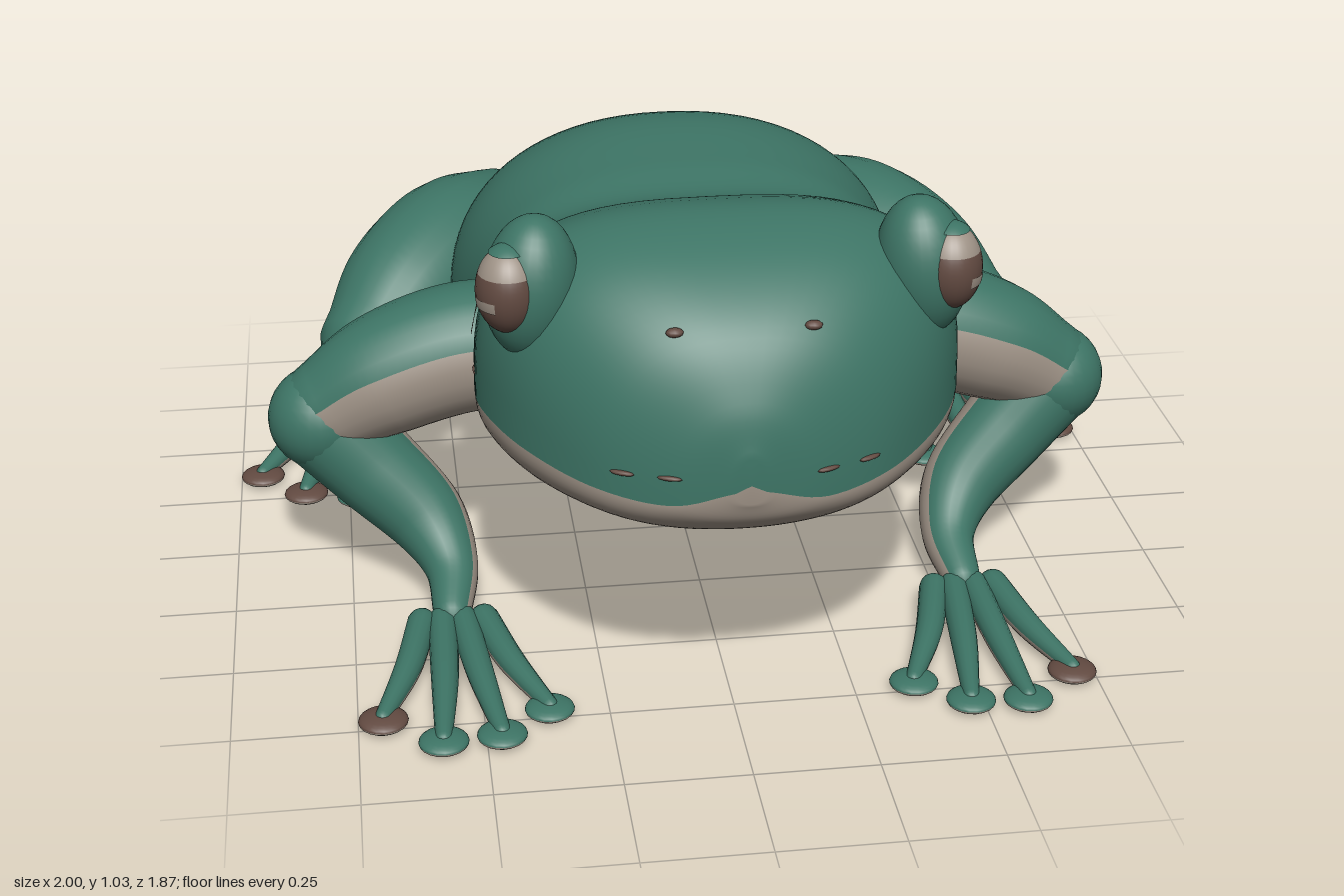
import * as THREE from 'three';

const mat = (name, color) => {
  const m = new THREE.MeshStandardMaterial({ color });
  m.name = name;
  return m;
};
const V = (x, y, z) => new THREE.Vector3(x, y, z);
const SIDES = 40;

// Skin closed rings; the first half of each ring is back skin, the rest belly skin
function loft(rings) {
  const n = rings[0].length, pos = [], halves = [[], []];
  rings.forEach(r => r.forEach(p => pos.push(p.x, p.y, p.z)));
  const ends = [rings[0], rings[rings.length - 1]].map(r => {
    const c = V(0, 0, 0);
    r.forEach(p => c.addScaledVector(p, 1 / n));
    pos.push(c.x, c.y, c.z);
    return pos.length / 3 - 1;
  });
  const last = (rings.length - 1) * n;
  for (let j = 0; j < n; j++) {
    const k = (j + 1) % n, out = halves[j < n / 2 ? 0 : 1];
    for (let i = 0; i < last; i += n) {
      out.push(i + j, i + n + j, i + n + k, i + j, i + n + k, i + k);
    }
    out.push(ends[0], j, k, ends[1], last + k, last + j);
  }
  const g = new THREE.BufferGeometry();
  g.setAttribute('position', new THREE.Float32BufferAttribute(pos, 3));
  g.setIndex([...halves[0], ...halves[1]]);
  g.addGroup(0, halves[0].length, 0);
  g.addGroup(halves[0].length, halves[1].length, 1);
  g.computeVertexNormals();
  return g;
}

// Round-ended limb through [x, y, z, radius] points; "up" is the green side
function limbGeometry(points, up, s, sides = 24) {
  const path = new THREE.CatmullRomCurve3(points.map(p => V(p[0] * s, p[1], p[2])));
  const radius = new THREE.CatmullRomCurve3(points.map((p, i) => V(p[3], i, 0)), false, 'catmullrom');
  const upV = V(up[0] * s, up[1], up[2]);
  const rings = [];
  const add = (t, shift, scale) => {
    const T = path.getTangent(t), r = radius.getPoint(t).x;
    const e1 = T.clone().cross(upV).normalize(), e2 = e1.clone().cross(T);
    const c = path.getPoint(t).addScaledVector(T, shift * r);
    rings.push(Array.from({ length: sides }, (_, j) => {
      const a = j / sides * Math.PI * 2;
      return c.clone().addScaledVector(e1, Math.cos(a) * r * scale).addScaledVector(e2, Math.sin(a) * r * scale);
    }));
  };
  const cap = [1.4, 1.1, 0.75, 0.4];
  cap.forEach(a => add(0, -Math.sin(a), Math.cos(a)));
  const steps = points.length * 6;
  for (let i = 0; i <= steps; i++) add(i / steps, 0, 1);
  cap.slice().reverse().forEach(a => add(1, Math.sin(a), Math.cos(a)));
  return loft(rings);
}

// Body stations: z, half width, top, bottom, colour border, squareness of the back
const STATIONS = [
  [0.935, 0.03, 0.65, 0.555, 0.58, 2], [0.91, 0.15, 0.75, 0.505, 0.55, 2.2],
  [0.84, 0.29, 0.87, 0.455, 0.565, 2.6], [0.71, 0.41, 0.96, 0.42, 0.59, 3],
  [0.56, 0.475, 0.998, 0.395, 0.6, 3.1], [0.41, 0.482, 0.965, 0.38, 0.58, 3],
  [0.2, 0.465, 0.885, 0.315, 0.54, 2.7], [0.03, 0.475, 0.9, 0.255, 0.51, 2.5],
  [-0.2, 0.5, 0.91, 0.225, 0.49, 2.3], [-0.4, 0.48, 0.855, 0.222, 0.47, 2.2],
  [-0.58, 0.425, 0.765, 0.225, 0.45, 2.2], [-0.76, 0.36, 0.66, 0.235, 0.42, 2.3],
  [-0.87, 0.25, 0.56, 0.26, 0.39, 2.3], [-0.908, 0.12, 0.46, 0.29, 0.37, 2],
];
const curveA = new THREE.CatmullRomCurve3(STATIONS.map(s => V(s[0], s[1], s[2])), false, 'catmullrom');
const curveB = new THREE.CatmullRomCurve3(STATIONS.map(s => V(s[3], s[4], s[5])), false, 'catmullrom');
const station = t => {
  const a = curveA.getPoint(t), b = curveB.getPoint(t);
  return { z: a.x, w: a.y, top: a.z, bottom: b.x, mid: b.y, n: b.z };
};
const SAMPLES = Array.from({ length: 401 }, (_, i) => station(i / 400));

// Half width of the upper body at a given height and depth
function surfaceX(y, z) {
  const s = SAMPLES.reduce((a, b) => Math.abs(b.z - z) < Math.abs(a.z - z) ? b : a);
  const u = THREE.MathUtils.clamp((y - s.mid) / (s.top - s.mid), 0, 1);
  return s.w * Math.pow(1 - Math.pow(u, s.n), 1 / s.n);
}

function bodyGeometry() {
  const rings = [];
  for (let i = 0; i <= 90; i++) {
    const s = station(i / 90);
    rings.push(Array.from({ length: SIDES * 2 }, (_, j) => {
      const a = j / SIDES * Math.PI, c = Math.cos(a), d = Math.sin(a);
      const upper = j <= SIDES, e = 2 / (upper ? s.n : 2.1);
      const h = upper ? s.top - s.mid : s.mid - s.bottom;
      return V(s.w * Math.sign(c) * Math.abs(c) ** e, s.mid + h * Math.sign(d) * Math.abs(d) ** e, s.z);
    }));
  }
  return loft(rings);
}

export function createModel() {
  const green = mat('back skin green', 0x3d7465);
  const beige = mat('belly beige', 0x9e9286);
  const brown = mat('marking brown', 0x624a41);
  const skin = [green, beige];
  const model = new THREE.Group();
  model.name = 'frog';

  const add = (parent, name, geometry, material, at) => {
    const m = new THREE.Mesh(geometry, material);
    m.name = name;
    if (at) m.position.set(...at);
    parent.add(m);
    return m;
  };

  add(model, 'body', bodyGeometry(), skin);

  // Four toes fanning from a foot, each ending in a flattened pad
  const addFoot = (parent, s, root, spread, tips, brownPads) => {
    tips.forEach(([x, z], i) => {
      const f = i / (tips.length - 1) - 0.5;
      const rx = root[0] + f * spread[0], rz = root[2] + f * spread[1];
      const mx = rx + (x - rx) * 0.5 + f * 0.02, mz = (rz + z) / 2;
      add(parent, 'toe', limbGeometry([[rx, root[1], rz, 0.031], [mx, 0.038, mz, 0.028], [x, 0.025, z, 0.017]],
        [0, 1, 0], s, 14), skin);
      [0, 1].forEach(h => {
        const pad = new THREE.SphereGeometry(1, 20, 6, 0, Math.PI * 2, h * Math.PI / 2, Math.PI / 2);
        pad.scale(0.05, 0.016, 0.05);
        add(parent, h ? 'toePadUnderside' : 'toePad', pad,
          h ? beige : brownPads.includes(i) ? brown : green, [x * s, 0.018, z]);
      });
    });
  };

  for (const s of [1, -1]) {
    const side = s > 0 ? 'left' : 'right';
    const part = name => {
      const g = new THREE.Group();
      g.name = side + name;
      model.add(g);
      return g;
    };

    // Raised eye socket, eyeball with pale upper part, glint and upper lid
    const eye = part('Eye');
    const socket = add(eye, 'eyeSocket', new THREE.SphereGeometry(1, 32, 20), green, [s * 0.378, 0.89, 0.63]);
    socket.scale.set(0.092, 0.143, 0.096);
    socket.rotation.z = s * 0.1;
    const ball = (name, m, size, ...arc) => {
      const g = new THREE.SphereGeometry(size, 28, 16, ...arc);
      g.scale(0.063, 0.086, 0.068);
      add(eye, name, g, m, [s * 0.423, 0.902, 0.668]);
    };
    ball('eyeball', brown, 1, 0, Math.PI * 2, Math.PI * 0.36, Math.PI * 0.64);
    ball('eyeballTop', beige, 1, 0, Math.PI * 2, 0, Math.PI * 0.36);
    ball('eyeGlint', beige, 1.02, (s > 0 ? 0.8 : 0.2) * Math.PI - 0.45, 0.9, Math.PI * 0.52, Math.PI * 0.08);
    ball('upperLid', green, 1.06, 0, Math.PI * 2, 0, Math.PI * 0.18);

    // Ear disc wrapped onto the side of the head
    const ear = new THREE.CircleGeometry(1, 32, 0, Math.PI * 2);
    const p = ear.attributes.position;
    for (let i = 0; i < p.count; i++) {
      const z = 0.375 - s * p.getX(i) * 0.08, y = 0.755 + p.getY(i) * 0.068;
      p.setXYZ(i, s * (surfaceX(y, z) + 0.007), y, z);
    }
    ear.computeVertexNormals();
    add(model, side + 'EarDisc', ear, brown);

    // Nostril and short marks along the mouth: x, y, z, turn
    add(model, side + 'Nostril', new THREE.SphereGeometry(1, 12, 8), brown, [s * 0.13, 0.868, 0.832])
      .scale.set(0.017, 0.009, 0.012);
    [[0.15, 0.607, 0.908, 0.4], [0.235, 0.607, 0.874, 0.5], [0.48, 0.64, 0.46, 1.55]].forEach(([x, y, z, turn]) => {
      const mark = add(model, side + 'MouthMark', new THREE.SphereGeometry(1, 12, 6), brown, [s * x, y, z]);
      mark.scale.set(0.025, 0.005, 0.007);
      mark.rotation.y = s * turn;
    });

    // Front leg
    const arm = part('FrontLeg');
    add(arm, 'upperArm', limbGeometry([[0.32, 0.54, 0.125, 0.135], [0.5, 0.535, 0.125, 0.14],
      [0.66, 0.485, 0.13, 0.132], [0.775, 0.42, 0.13, 0.108]], [0, 1, -0.35], s), skin);
    add(arm, 'elbow', new THREE.SphereGeometry(0.112, 28, 18), green, [s * 0.797, 0.395, 0.13]);
    add(arm, 'forearm', limbGeometry([[0.785, 0.38, 0.13, 0.108], [0.69, 0.28, 0.155, 0.1],
      [0.585, 0.175, 0.205, 0.085], [0.54, 0.105, 0.295, 0.058], [0.545, 0.058, 0.41, 0.04]], [0.5, 0.4, 0.7], s), skin);
    addFoot(arm, s, [0.545, 0.05, 0.43], [-0.13, 0],
      [[0.7, 0.74], [0.585, 0.83], [0.47, 0.82], [0.37, 0.74]], [0]);

    // Folded hind leg
    const leg = part('HindLeg');
    add(leg, 'thigh', limbGeometry([[0.37, 0.475, -0.6, 0.175], [0.48, 0.5, -0.47, 0.178],
      [0.59, 0.465, -0.33, 0.162], [0.675, 0.405, -0.215, 0.122]], [0.5, 0.9, 0], s), skin);
    add(leg, 'shin', limbGeometry([[0.7, 0.37, -0.2, 0.1], [0.65, 0.335, -0.4, 0.098],
      [0.57, 0.285, -0.63, 0.09], [0.505, 0.215, -0.855, 0.078]], [0.2, 1, 0], s), skin);
    add(leg, 'ankle', limbGeometry([[0.505, 0.195, -0.855, 0.082], [0.6, 0.13, -0.735, 0.078],
      [0.71, 0.066, -0.615, 0.058]], [0.2, 0.9, -0.45], s), skin);
    addFoot(leg, s, [0.745, 0.05, -0.575], [-0.16, 0.06],
      [[0.95, -0.34], [0.85, -0.24], [0.73, -0.21], [0.61, -0.24]], [0, 1]);
  }
  return model;
}
